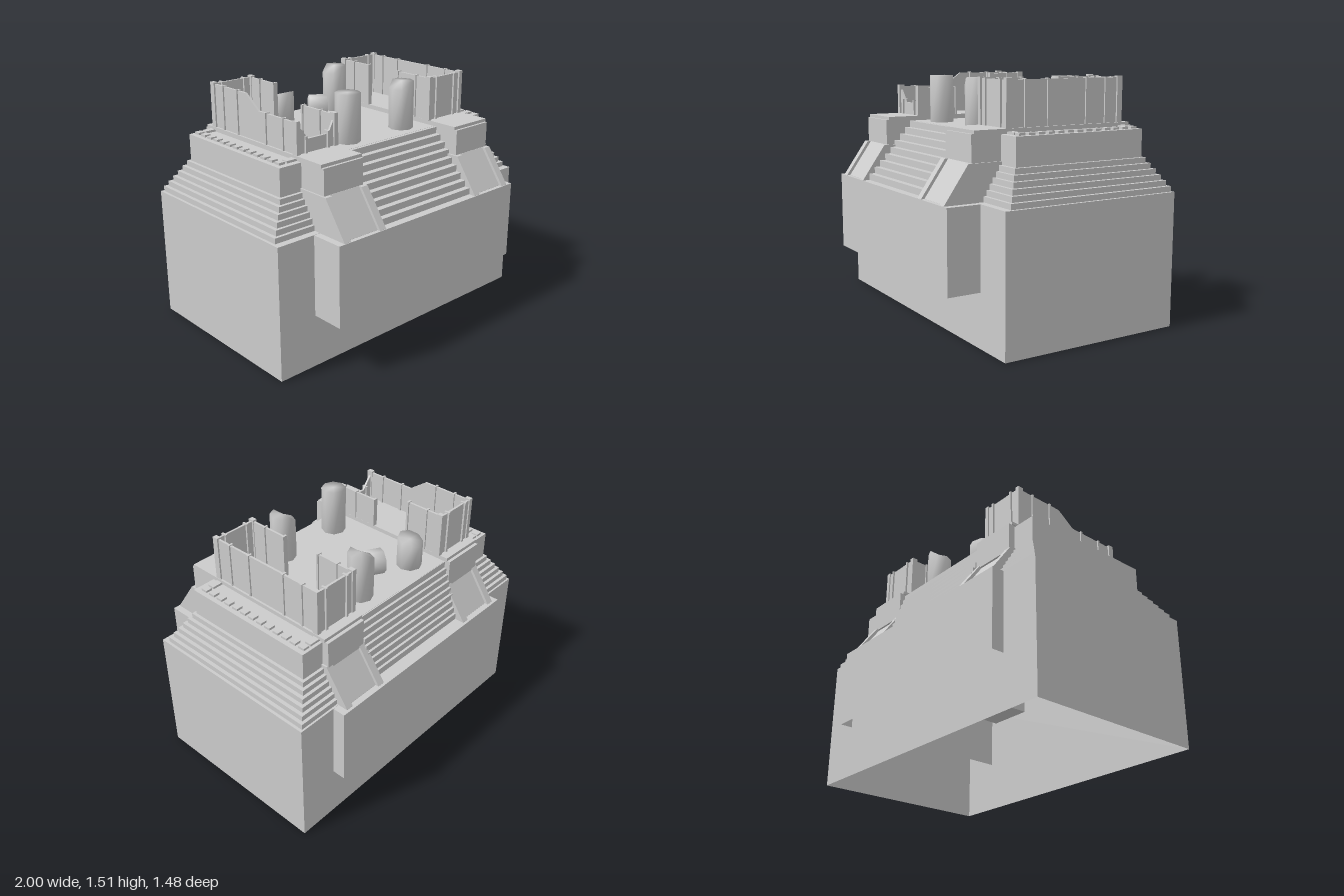
import * as THREE from 'three';
import { mergeVertices } from 'three/addons/utils/BufferGeometryUtils.js';

const stone = new THREE.MeshStandardMaterial({ color: 0xcccccc, side: THREE.DoubleSide });

export function createModel() {
  const root = new THREE.Group();

  const add = (name, geometry, parent = root) => {
    const m = new THREE.Mesh(geometry, stone);
    m.name = name;
    parent.add(m);
    return m;
  };
  // Box given by its limits on each axis
  const boxGeo = (x0, x1, y0, y1, z0, z1) =>
    new THREE.BoxGeometry(x1 - x0, y1 - y0, z1 - z0)
      .translate((x0 + x1) / 2, (y0 + y1) / 2, (z0 + z1) / 2);
  const box = (name, x0, x1, y0, y1, z0, z1, parent) =>
    add(name, boxGeo(x0, x1, y0, y1, z0, z1), parent);
  // Box without its underside
  const openBox = (name, ...limits) => {
    const g = boxGeo(...limits);
    const index = [...g.index.array];
    index.splice(18, 6);
    g.setIndex(index);
    g.clearGroups();
    return add(name, g);
  };
  const toShape = (pts) => new THREE.Shape(pts.map(([a, b]) => new THREE.Vector2(a, b)));
  // Profile of [z, y] points extruded from x0 to x1
  const alongX = (name, pts, x0, x1, parent) =>
    add(name, new THREE.ExtrudeGeometry(toShape(pts), { depth: x1 - x0, bevelEnabled: false })
      .rotateY(-Math.PI / 2).translate(x1, 0, 0), parent);
  // Profile of [x, y] points extruded from z0 to z1
  const alongZ = (name, pts, z0, z1, parent) =>
    add(name, new THREE.ExtrudeGeometry(toShape(pts), { depth: z1 - z0, bevelEnabled: false })
      .translate(0, 0, z0), parent);

  // Hollow foundation with a projecting plinth
  openBox('foundation', -1, 1, 0, 0.83, -0.66, 0.53);
  openBox('plinth', -0.745, 0.745, 0.33, 0.829, -0.74, 0.74);

  // Stepped tiers on all sides and the temple platform
  for (let i = 0; i < 6; i++) {
    const x = 0.982 - i * 0.0235;
    box('tier', -x, x, 0.83 + i * 0.0333, 0.8633 + i * 0.0333, -0.648 + i * 0.02, 0.485 - i * 0.02);
  }
  box('platform', -0.845, 0.845, 1.03, 1.2, -0.53, 0.365);

  // Central stairs, shallow in front and steep behind
  for (let i = 0; i < 9; i++) {
    box('stair', -0.4, 0.4, 0.83 + i * 0.041, 0.871 + i * 0.041, -0.66 + i * 0.0155, 0.69 - i * 0.038);
  }

  const postZ = [-0.375, -0.232, 0.042, 0.2];
  const zBack = -0.49, zFront = 0.32, floor = 1.23, top = 1.5, thin = 0.014;

  for (const s of [1, -1]) {
    // x limits ordered for the chosen side
    const span = (a, b) => (s > 0 ? [a, b] : [-b, -a]);
    const side = new THREE.Group();
    side.name = s > 0 ? 'leftWing' : 'rightWing';
    root.add(side);

    // Long podium with a lip
    box('podium', ...span(0.4, 0.692), 1.03, 1.21, -0.573, 0.556, side);
    box('podiumLip', ...span(0.395, 0.697), 1.21, floor, -0.552, 0.54, side);

    // Sloped buttresses with raised rails, front and back
    for (const f of [1, -1]) {
      const place = (z) => (f > 0 ? z : -z + 0.012);
      const slope = (inset) => [
        [0.735 - inset, 0.64], [0.735 - inset, 0.83], [0.58 - inset, 1.05], [0.3, 1.05], [0.3, 0.64],
      ].map(([z, y]) => [place(z), y]);
      alongX('buttressPanel', slope(0.022), ...span(0.43, 0.66), side);
      alongX('buttressRail', slope(0), ...span(0.387, 0.434), side);
      alongX('buttressRail', slope(0), ...span(0.655, 0.702), side);
    }

    // Square studs along the platform edge
    for (let i = 0; i < 13; i++) {
      const z = -0.49 + i * 0.0663;
      const xs = i === 0 || i === 12 ? [0.795, 0.742, 0.705] : [0.795];
      for (const x of xs) box('stud', ...span(x - 0.021, x + 0.021), 1.2, 1.214, z - 0.021, z + 0.021, side);
    }

    // Thin outer wall; one wing has a broken front half
    const broken = s < 0;
    const low = broken ? 1.415 : top;
    alongX('outerWall', [[zBack, floor], [zFront, floor], [zFront, low], [-0.03, low],
      [-0.15, top], [zBack, top]], ...span(0.67, 0.67 + thin), side);

    // Inner wall in two pieces around the entrance
    box('innerWallBack', ...span(0.396, 0.396 + thin), floor, top, zBack, postZ[1], side);
    box('innerWallFront', ...span(0.396, 0.396 + thin), floor, low, postZ[2], zFront, side);

    // End walls
    box('backWall', ...span(0.396, 0.684), floor, top, zBack, zBack + thin, side);
    const notch = broken
      ? [[0.396, low], [0.45, 1.31], [0.6, 1.31], [0.684, low]]
      : [[0.396, top], [0.684, top]];
    alongZ('frontWall', [[0.396, floor], ...notch, [0.684, floor]].map(([x, y]) => [s * x, y]),
      zFront - thin, zFront, side);

    // Slim posts on the walls
    for (const z of postZ) {
      const h = z > -0.1 ? low + 0.005 : top + 0.005;
      for (const x of [0.403, 0.677]) {
        box('wallPost', ...span(x - 0.016, x + 0.016), floor, h, z - 0.007, z + 0.007, side);
      }
    }
    for (const x of [0.458, 0.622]) {
      box('endPost', ...span(x - 0.007, x + 0.007), floor, top + 0.005, zBack - 0.012, zBack + 0.026, side);
      box('endPost', ...span(x - 0.007, x + 0.007), floor, broken ? 1.33 : top + 0.005,
        zFront - 0.026, zFront + 0.012, side);
    }
    for (const x of [0.4, 0.68]) {
      box('cornerPost', ...span(x - 0.014, x + 0.014), floor, 1.51, zBack - 0.008, zBack + 0.03, side);
      box('cornerPost', ...span(x - 0.014, x + 0.014), floor, broken ? low + 0.01 : 1.51,
        zFront - 0.026, zFront + 0.012, side);
    }
  }

  // Eight-sided drum with softly shaded edges; the rule reshapes the broken top
  const drum = (height, topRule) => {
    let g = new THREE.CylinderGeometry(0.078, 0.078, height, 8).translate(0, height / 2, 0);
    g.deleteAttribute('normal');
    g.deleteAttribute('uv');
    g = mergeVertices(g, 1e-4);
    const p = g.attributes.position;
    for (let i = 0; i < p.count; i++) {
      if (p.getY(i) > height * 0.9) p.setY(i, topRule(p.getX(i), p.getZ(i)));
    }
    g.computeVertexNormals();
    return g;
  };
  const chipped = (x) => (x < -0.04 ? 0.255 : 0.3);
  const columns = [
    [-0.228, 0.24, () => 0.3],
    [0.225, 0.24, chipped],
    [0.225, -0.39, chipped],
    [-0.228, -0.39, (x, z) => 0.18 + z * 0.3],
  ];
  for (const [x, z, rule] of columns) add('column', drum(0.3, rule)).position.set(x, 1.2, z);

  // Fallen piece of the broken column
  const fallen = add('fallenDrum', drum(0.11, () => 0.11).translate(0, -0.055, 0));
  fallen.position.set(-0.01, 1.276, -0.29);
  fallen.quaternion.setFromUnitVectors(new THREE.Vector3(0, 1, 0),
    new THREE.Vector3(0.87, 0, 0.49).normalize());

  return root;
}
